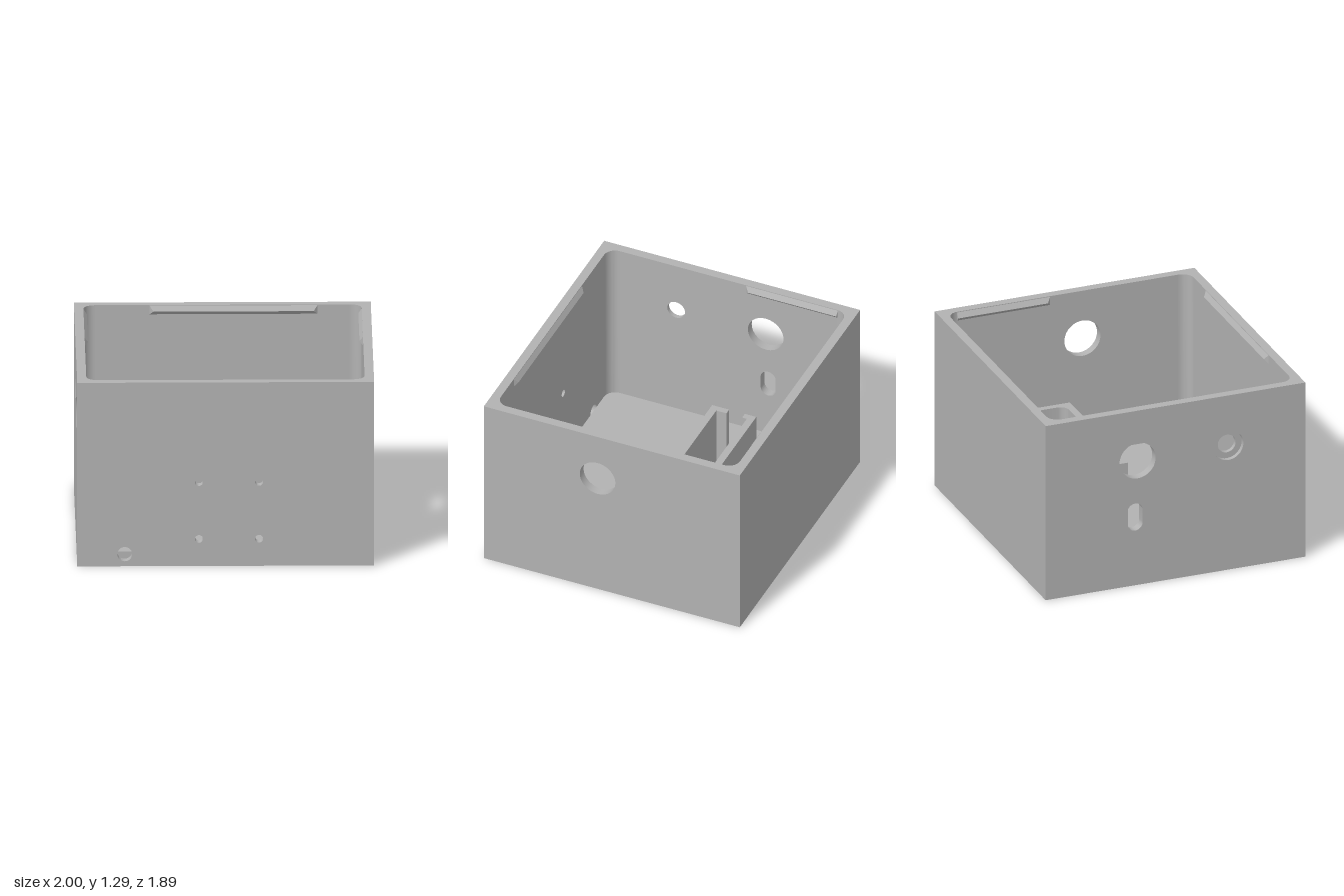
import * as THREE from 'three';
import { toCreasedNormals } from 'three/addons/utils/BufferGeometryUtils.js';
import { ConvexGeometry } from 'three/addons/geometries/ConvexGeometry.js';

const W = 1, D = 0.943, H = 1.29;      // half width, half depth, height
const T = 0.0625;                      // wall thickness
const FLOOR = 0.085, POCKET = 0.045;   // floor top and pocket bottom
const IX = W - T, IZ = D - T;          // inner half sizes

const plastic = new THREE.MeshStandardMaterial({ color: 0xb2b2b2 });
plastic.name = 'grey plastic';

function mesh(name, geometry) {
  const m = new THREE.Mesh(geometry, plastic);
  m.name = name;
  return m;
}

function polygon(points) {
  return new THREE.Shape(points.map(([x, y]) => new THREE.Vector2(x, y)));
}

function rect(x0, y0, x1, y1) {
  return polygon([[x0, y0], [x1, y0], [x1, y1], [x0, y1]]);
}

function circle(x, y, r) {
  return new THREE.Path().absarc(x, y, r, 0, Math.PI * 2, true);
}

// Upright slot with round ends
function slot(x, y0, y1, r) {
  const p = new THREE.Path();
  p.absarc(x, y1 - r, r, 0, Math.PI, false);
  p.absarc(x, y0 + r, r, Math.PI, Math.PI * 2, false);
  p.closePath();
  return p;
}

// Round opening with a narrow slot rising from it
function keyhole(x, y, r, top, s) {
  const a = Math.asin(s / r);
  const p = new THREE.Path();
  p.absarc(x, top - s, s, 0, Math.PI, false);
  p.absarc(x, y, r, Math.PI / 2 + a, Math.PI * 2.5 - a, false);
  p.closePath();
  return p;
}

function extrude(shape, depth) {
  return new THREE.ExtrudeGeometry(shape, { depth, bevelEnabled: false, curveSegments: 24 });
}

// Extrude a plan drawn in (x, -z) upward from y0 to y1
function slab(name, shape, y0, y1) {
  const g = extrude(shape, y1 - y0).rotateX(-Math.PI / 2).translate(0, y0, 0);
  return mesh(name, toCreasedNormals(g, 0.5));
}

// Wall panel with mitred ends, outer face at local z = 0
function wallPanel(name, half, holes) {
  const shape = rect(-half, 0, half, H);
  shape.holes.push(...holes);
  const g = extrude(shape, T).translate(0, 0, -T);
  const p = g.attributes.position;
  for (let i = 0; i < p.count; i++) {
    const x = p.getX(i);
    if (p.getZ(i) < -T / 2 && Math.abs(x) > half - 1e-4) p.setX(i, x - Math.sign(x) * T);
  }
  return mesh(name, toCreasedNormals(g, 0.5));
}

// Wedge-shaped snap ridge near the rim, with bevelled ends
function snapRidge(u0, u1, bevel0, bevel1) {
  const pts = [];
  for (const [u, b] of [[u0, bevel0], [u1, -bevel1]]) {
    pts.push(new THREE.Vector3(u, 1.285, -T));
    pts.push(new THREE.Vector3(u, 1.225, -T));
    pts.push(new THREE.Vector3(u + b, 1.25, -T - 0.023));
  }
  return mesh('snapRidge', new ConvexGeometry(pts));
}

export function createModel() {
  const model = new THREE.Group();
  model.name = 'wallMountEnclosure';

  // Four walls with their openings and snap ridges
  const screwHoles = [];
  for (const x of [-0.18, 0.225]) for (const y of [0.19, 0.59]) screwHoles.push(circle(x, y, 0.027));
  const walls = [
    { name: 'frontWall', half: W, turn: 0, at: [0, 0, D],
      holes: [...screwHoles, circle(-0.68, 0.085, 0.05)], ridge: [-0.49, 0.64, 0.025, 0.025] },
    { name: 'backWall', half: W, turn: Math.PI, at: [0, 0, -D],
      holes: [], ridge: [-0.64, 0.49, 0.025, 0.025] },
    { name: 'leftWall', half: D, turn: Math.PI / 2, at: [W, 0, 0],
      holes: [circle(-0.105, 0.938, 0.131)], ridge: [0.13, 0.805, 0.025, 0] },
    { name: 'rightWall', half: D, turn: -Math.PI / 2, at: [-W, 0, 0],
      holes: [circle(-0.275, 0.92, 0.131), circle(0.385, 0.92, 0.108), slot(-0.293, 0.405, 0.605, 0.055)],
      ridge: [-0.805, -0.13, 0, 0.025] },
  ];
  for (const w of walls) {
    const g = new THREE.Group();
    g.name = w.name + 'Group';
    g.add(wallPanel(w.name, w.half, w.holes), snapRidge(...w.ridge));
    g.rotation.y = w.turn;
    g.position.set(...w.at);
    model.add(g);
    if (w.name === 'rightWall') {
      // Inner collar of the stepped socket hole
      const ring = new THREE.Shape().absarc(0.385, 0.92, 0.108, 0, Math.PI * 2, false);
      ring.holes.push(circle(0.385, 0.92, 0.065));
      g.add(mesh('socketCollar', toCreasedNormals(extrude(ring, 0.03).translate(0, 0, -T), 0.5)));
    }
  }

  // Floor: lower layer with keyholes, upper layer with pockets around them
  const lower = rect(-IX, -IZ, IX, IZ);
  const upper = rect(-IX, -IZ, IX, IZ);
  for (const x of [-0.64, 0.653]) {
    lower.holes.push(keyhole(x, 0.592, 0.075, 0.775, 0.037));
    upper.holes.push(rect(x - 0.145, 0.455, x + 0.145, 0.87));
  }
  model.add(slab('floorLower', lower, 0, POCKET), slab('floorUpper', upper, POCKET, FLOOR));

  // Rounded inner corners
  const R = 0.08;
  for (const sx of [-1, 1]) for (const sz of [-1, 1]) {
    const pts = [[sx * IX, sz * IZ]];
    for (let i = 0; i <= 12; i++) {
      const a = (i / 12) * Math.PI / 2;
      pts.push([sx * (IX - R + R * Math.cos(a)), sz * (IZ - R + R * Math.sin(a))]);
    }
    model.add(slab('cornerFillet', polygon(pts), FLOOR, H));
  }

  // Battery holder: tall open pocket with a cable gap at one end
  const h = polygon([[-0.42, 0.35], [-0.42, 0.435], [0.63, 0.435], [0.63, 0.11], [-0.42, 0.11],
    [-0.42, 0.235], [-0.375, 0.235], [-0.375, 0.16]]);
  const r = 0.06;
  h.absarc(0.585 - r, 0.16 + r, r, -Math.PI / 2, 0, false);
  h.absarc(0.585 - r, 0.385 - r, r, 0, Math.PI / 2, false);
  h.lineTo(-0.375, 0.385);
  h.lineTo(-0.375, 0.35);
  h.closePath();
  model.add(slab('batteryHolder', h, FLOOR, 0.63));

  return model;
}
